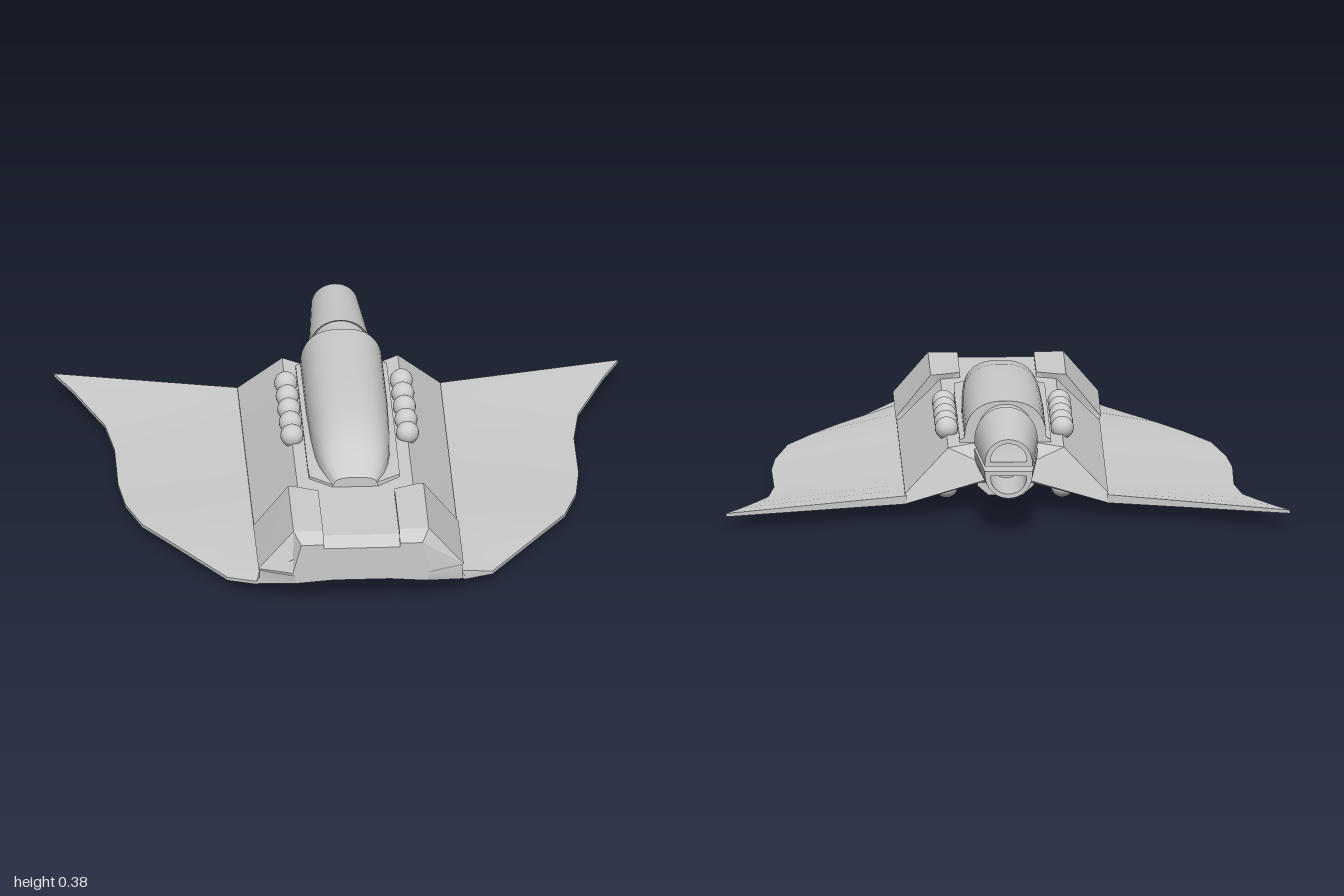
import * as THREE from 'three';
import { toCreasedNormals } from 'three/addons/utils/BufferGeometryUtils.js';

const material = new THREE.MeshStandardMaterial({ color: 0xcccccc, side: THREE.DoubleSide });

// Skin closed rings of [x, y, z], ordered front to back and counterclockwise seen from +z.
function loft(name, rings, { caps = true, closed = false, crease = 0.5 } = {}) {
  const pos = [], n = rings[0].length;
  const tri = (a, b, c) => pos.push(...a, ...b, ...c);
  const count = closed ? rings.length : rings.length - 1;
  for (let i = 0; i < count; i++) {
    const r = rings[i], s = rings[(i + 1) % rings.length];
    for (let j = 0; j < n; j++) {
      const k = (j + 1) % n;
      tri(r[j], s[j], r[k]);
      tri(r[k], s[j], s[k]);
    }
  }
  if (caps && !closed) {
    const mid = (ring) => [0, 1, 2].map((a) => ring.reduce((t, p) => t + p[a], 0) / n);
    const f = rings[0], b = rings[rings.length - 1], fm = mid(f), bm = mid(b);
    for (let j = 0; j < n; j++) {
      const k = (j + 1) % n;
      tri(fm, f[j], f[k]);
      tri(bm, b[k], b[j]);
    }
  }
  const g = new THREE.BufferGeometry();
  g.setAttribute('position', new THREE.Float32BufferAttribute(pos, 3));
  const mesh = new THREE.Mesh(toCreasedNormals(g, crease), material);
  mesh.name = name;
  return mesh;
}

const flipRing = (ring) => ring.map(([x, y, z]) => [-x, y, z]).reverse();
// Complete a right-to-top half outline with its mirror image.
const symmetric = (half) => [...half, ...flipRing(half)];
const at = (z, pts) => pts.map(([x, y]) => [x, y, z]);

// D-shaped outline: dir 1 is round on top, dir -1 round underneath.
function dRing(z, w, h, flatY, dir) {
  const ring = [];
  for (let i = 0; i <= 20; i++) {
    const a = (i / 20) * Math.PI;
    ring.push([w * Math.cos(a), flatY + dir * h * Math.pow(Math.sin(a), 0.85), z]);
  }
  return dir > 0 ? ring : ring.reverse();
}

// Upper fairing section: a narrow skirt carrying a rounded dome.
function fairingRing(z, skirt, dome, top) {
  const half = [[skirt, 0.22, z], [skirt, 0.245, z]];
  for (let i = 0; i <= 10; i++) {
    const a = (i / 10) * Math.PI * 0.47;
    half.push([dome * Math.pow(Math.cos(a), 0.8), 0.25 + (top - 0.25) * Math.pow(Math.sin(a), 0.9), z]);
  }
  return symmetric(half);
}

export function createModel() {
  const model = new THREE.Group();
  model.name = 'spacecraft';

  // Hull: trapezoid with an arched underside, bevelled nose and notched stern
  const hullHalf = [[0.1, 0.085], [0.36, 0.05], [0.36, 0.085], [0.205, 0.235], [0.1, 0.235]];
  const sternZ = [-0.47, -0.63, -0.62, -0.55, -0.47];
  model.add(loft('hull', [
    symmetric(at(0.9, [[0.1, 0.085], [0.23, 0.075], [0.24, 0.1], [0.2, 0.21], [0.1, 0.21]])),
    symmetric(at(0.845, [[0.1, 0.085], [0.36, 0.05], [0.36, 0.1], [0.225, 0.235], [0.1, 0.235]])),
    symmetric(at(0.49, hullHalf)),
    symmetric(hullHalf.map(([x, y], i) => [x, y, sternZ[i]])),
  ], { crease: 0.2 }));

  // Wings: thin swept sheets, [edge x, edge z, edge underside y]
  const edge = [
    [0.37, 0.84, 0.045], [0.47, 0.775, 0.03], [0.56, 0.64, 0.032], [0.66, 0.485, 0.032],
    [0.75, 0.34, 0.028], [0.8, 0.16, 0.018], [0.817, 0.0, 0.017], [0.815, -0.27, 0.018],
    [0.84, -0.45, 0.025], [0.89, -0.57, 0.033], [0.94, -0.69, 0.042], [1.0, -0.81, 0.05],
  ];
  const rootZ = [0.84, 0.775, 0.64, 0.485, 0.34, 0.16, 0, -0.27, -0.45, -0.53, -0.59, -0.63];
  const wing = edge.map(([x, z, y], i) => [
    [0.355, 0.05, rootZ[i]], [x, y, z], [x, y + 0.012, z], [0.355, 0.08, rootZ[i]],
  ]);
  model.add(loft('leftWing', wing, { crease: 0.4 }));
  model.add(loft('rightWing', wing.map(flipRing), { crease: 0.4 }));

  // Raised armour plates on each side of the nose
  const plate = [
    [[0.2, 0.19, 0.9], [0.235, 0.1, 0.9], [0.245, 0.115, 0.9], [0.215, 0.225, 0.9],
      [0.19, 0.225, 0.9], [0.135, 0.225, 0.9], [0.135, 0.2, 0.9]],
    at(0.845, [[0.2, 0.2], [0.35, 0.09], [0.364, 0.11], [0.24, 0.254], [0.21, 0.254], [0.135, 0.254], [0.135, 0.2]]),
    [[0.2, 0.2, 0.49], [0.35, 0.085, 0.49], [0.364, 0.1, 0.49], [0.24, 0.254, 0.49],
      [0.215, 0.254, 0.495], [0.135, 0.254, 0.53], [0.135, 0.2, 0.53]],
  ];
  model.add(loft('leftNosePlate', plate, { crease: 0.2 }));
  model.add(loft('rightNosePlate', plate.map(flipRing), { crease: 0.2 }));

  // Upper fairing, tapering to a blunt front
  model.add(loft('upperFairing', [
    fairingRing(0.47, 0.08, 0.075, 0.272),
    fairingRing(0.4, 0.16, 0.105, 0.31),
    fairingRing(0.33, 0.162, 0.122, 0.34),
    fairingRing(0.26, 0.162, 0.132, 0.362),
    fairingRing(0.12, 0.162, 0.14, 0.38),
    fairingRing(-0.1, 0.162, 0.145, 0.385),
    fairingRing(-0.47, 0.162, 0.145, 0.385),
  ], { crease: 0.6 }));

  // Keel ridge under the hull
  model.add(loft('keel', [
    symmetric(at(0.16, [[0.06, 0.085], [0.1, 0.09], [0.1, 0.12]])),
    symmetric(at(0.08, [[0.06, 0.045], [0.1, 0.08], [0.1, 0.12]])),
    symmetric(at(-0.48, [[0.06, 0.045], [0.1, 0.08], [0.1, 0.2]])),
  ], { crease: 0.2 }));

  // Twin engines: a neck and a hollow D-shaped nozzle, one above the other
  for (const [label, dir, flatY] of [['upper', 1, 0.248], ['lower', -1, 0.23]]) {
    model.add(loft(label + 'EngineNeck', [
      dRing(-0.44, 0.1, 0.115, flatY + dir * 0.01, dir),
      dRing(-0.56, 0.1, 0.115, flatY + dir * 0.01, dir),
    ]));
    const inner = flatY + dir * 0.016;
    model.add(loft(label + 'Nozzle', [
      dRing(-0.545, 0.113, 0.133, flatY, dir),
      dRing(-0.9, 0.085, 0.098, flatY, dir),
      dRing(-0.9, 0.064, 0.066, inner, dir),
      dRing(-0.6, 0.07, 0.075, inner, dir),
    ], { closed: true }));
    model.add(loft(label + 'NozzleFloor', [
      dRing(-0.59, 0.08, 0.09, inner, dir),
      dRing(-0.61, 0.08, 0.09, inner, dir),
    ]));
  }

  // Rows of spherical pods above and below the hull
  const ball = new THREE.SphereGeometry(0.041, 20, 14);
  for (const side of [1, -1]) {
    for (const [row, y] of [['upper', 0.252], ['lower', 0.041]]) {
      const pods = new THREE.Group();
      pods.name = `${row}${side > 0 ? 'Left' : 'Right'}Pods`;
      for (let i = 0; i < 5; i++) {
        const pod = new THREE.Mesh(ball, material);
        pod.name = 'pod';
        pod.position.set(side * 0.205, y, 0.09 - i * 0.1025);
        pods.add(pod);
      }
      model.add(pods);
    }
  }
  return model;
}
